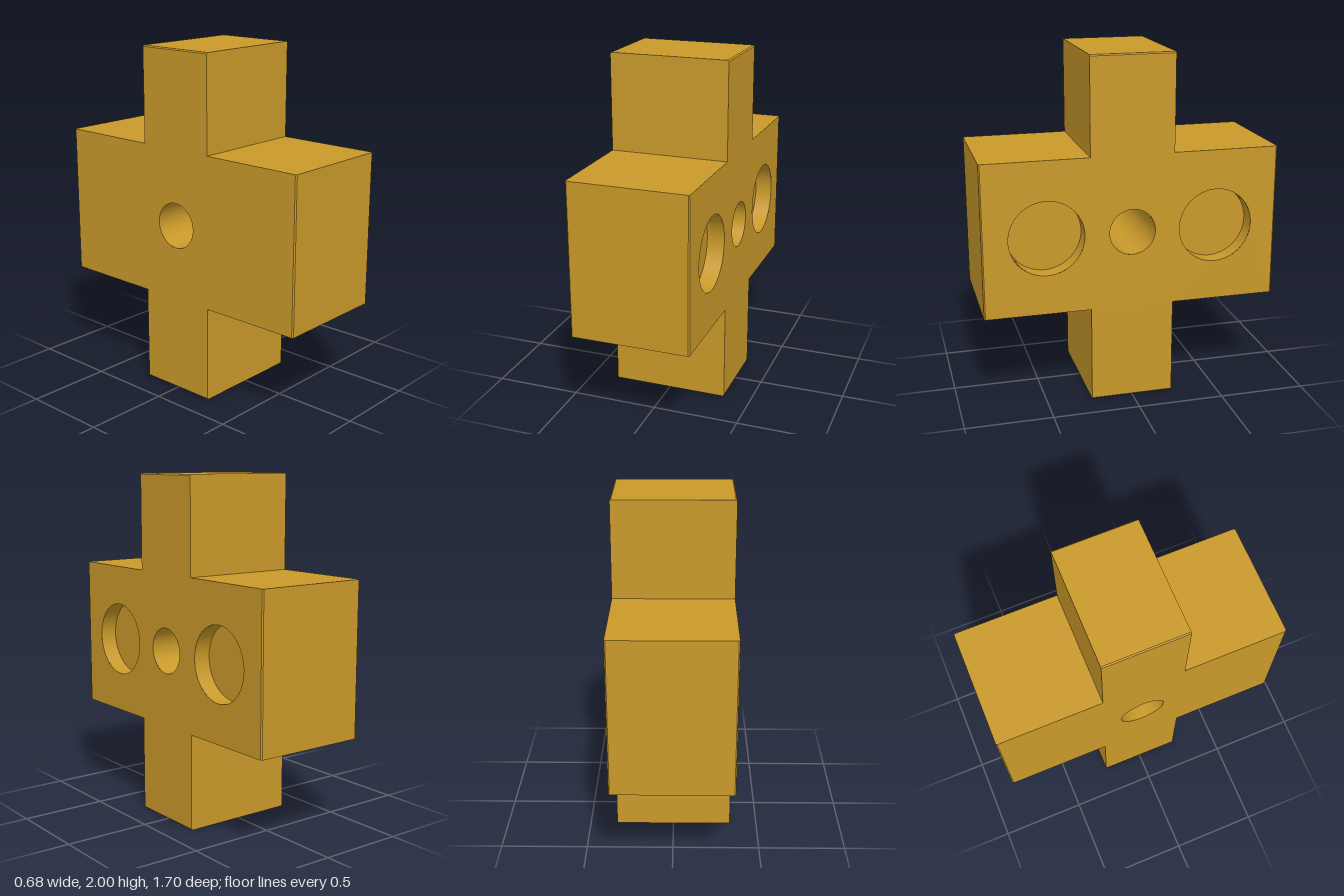
import * as THREE from 'three';

const HALF = 0.34;          // half thickness along x
const CHAMFER = 0.007;      // bevel on the four arm ends
const POCKET_DEPTH = 0.1;
const HOLE_R = 0.132, POCKET_R = 0.214, POCKET_Z = 0.488, HOLE_Y = 1.003;
const SEG = 64;

// Cross outline, counter-clockwise seen from +x (u = -z, v = y); inset pulls in the arm ends only
function crossOutline(inset) {
  const w = 0.24, r = 0.848 - inset, lo = 0.56, hi = 1.445, b = inset, t = 2 - inset;
  return [[-w, b], [w, b], [w, lo], [r, lo], [r, hi], [w, hi],
    [w, t], [-w, t], [-w, hi], [-r, hi], [-r, lo], [-w, lo]];
}

function capShape(holes) {
  const shape = new THREE.Shape(crossOutline(CHAMFER).map(([u, v]) => new THREE.Vector2(u, v)));
  for (const [u, r] of holes) {
    shape.holes.push(new THREE.Path().absarc(u, HOLE_Y, r, 0, Math.PI * 2, true));
  }
  return new THREE.ShapeGeometry(shape, SEG);
}

// Perimeter walls lofted through sections, with chamfered arm ends
function perimeterWalls() {
  const sections = [[-HALF, CHAMFER], [-HALF + CHAMFER, 0], [HALF - CHAMFER, 0], [HALF, CHAMFER]]
    .map(([x, inset]) => crossOutline(inset).map(([u, v]) => [x, v, -u]));
  const pos = [];
  for (let s = 0; s < sections.length - 1; s++) {
    const p = sections[s], q = sections[s + 1];
    for (let i = 0; i < p.length; i++) {
      const j = (i + 1) % p.length;
      pos.push(...p[i], ...p[j], ...q[j], ...p[i], ...q[j], ...q[i]);
    }
  }
  const geo = new THREE.BufferGeometry();
  geo.setAttribute('position', new THREE.Float32BufferAttribute(pos, 3));
  geo.computeVertexNormals();
  return geo;
}

// Round bore wall between two x positions
function boreWall(radius, x0, x1, z) {
  return new THREE.CylinderGeometry(radius, radius, x1 - x0, SEG, 1, true)
    .rotateZ(Math.PI / 2)
    .translate((x0 + x1) / 2, HOLE_Y, z);
}

export function createModel() {
  const group = new THREE.Group();
  group.name = 'crossBlock';
  const solid = new THREE.MeshStandardMaterial({ color: 0xc9992a });
  const inner = new THREE.MeshStandardMaterial({ color: 0xc9992a, side: THREE.DoubleSide });
  const add = (name, geometry, material = solid) => {
    const mesh = new THREE.Mesh(geometry, material);
    mesh.name = name;
    group.add(mesh);
  };

  // Cross-shaped body
  add('perimeterWalls', perimeterWalls());
  add('pocketedFace', capShape([[0, HOLE_R], [-POCKET_Z, POCKET_R], [POCKET_Z, POCKET_R]])
    .rotateY(Math.PI / 2).translate(HALF, 0, 0));
  add('plainFace', capShape([[0, HOLE_R]]).rotateY(-Math.PI / 2).translate(-HALF, 0, 0));

  // Through hole
  add('centreHole', boreWall(HOLE_R, -HALF, HALF, 0), inner);

  // Two shallow round pockets
  for (const [side, z] of [['front', POCKET_Z], ['back', -POCKET_Z]]) {
    const floorX = HALF - POCKET_DEPTH;
    add(side + 'PocketWall', boreWall(POCKET_R, floorX, HALF, z), inner);
    add(side + 'PocketFloor', new THREE.CircleGeometry(POCKET_R, SEG)
      .rotateY(Math.PI / 2).translate(floorX, HOLE_Y, z));
  }
  return group;
}
